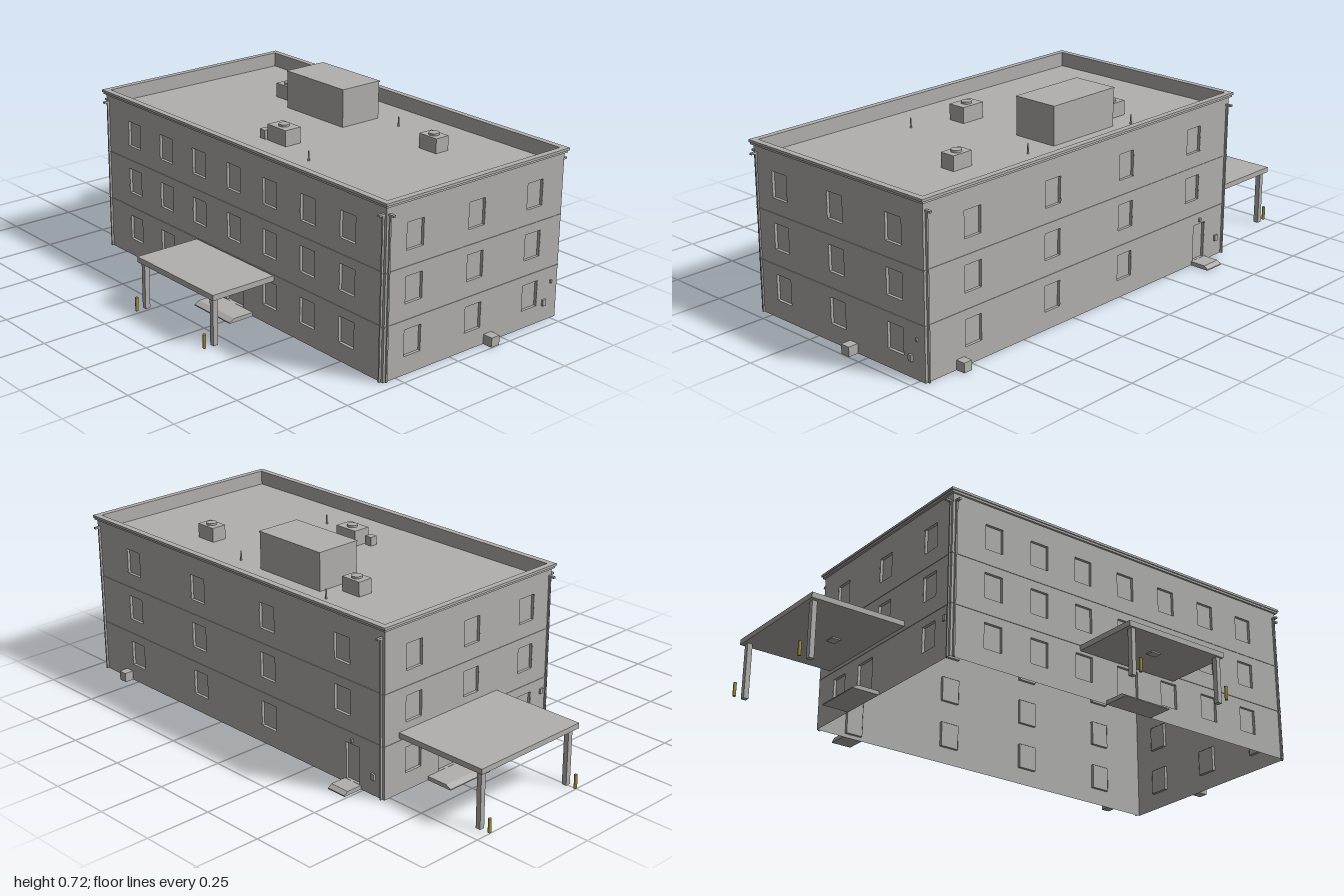
import * as THREE from 'three';

export function createModel() {
  const model = new THREE.Group();
  const grey = new THREE.MeshStandardMaterial({ color: 0xb1b0ae, side: THREE.DoubleSide });
  grey.name = 'concrete grey';
  const yellow = new THREE.MeshStandardMaterial({ color: 0xa89640 });
  yellow.name = 'bollard yellow';

  const X0 = -0.603, X1 = 0.958, Z0 = -0.526, Z1 = 0.307;
  const CX = (X0 + X1) / 2, CZ = (Z0 + Z1) / 2;
  const TOP = 0.618, DECK = 0.578, DEPTH = 0.012;

  function add(name, geo, mat = grey, parent = model) {
    const m = new THREE.Mesh(geo, mat);
    m.name = name;
    parent.add(m);
    return m;
  }
  // Box given by its minimum and maximum corners
  function box(name, x0, x1, y0, y1, z0, z1, parent = model) {
    const m = add(name, new THREE.BoxGeometry(x1 - x0, y1 - y0, z1 - z0), grey, parent);
    m.position.set((x0 + x1) / 2, (y0 + y1) / 2, (z0 + z1) / 2);
  }
  function cylinder(name, x, y0, y1, z, r0, r1, mat = grey) {
    const m = add(name, new THREE.CylinderGeometry(r1, r0, y1 - y0, 12), mat);
    m.position.set(x, (y0 + y1) / 2, z);
  }
  function rect(P, x0, x1, y0, y1) {
    const p = new P();
    p.moveTo(x0, y0);
    p.lineTo(x1, y0);
    p.lineTo(x1, y1);
    p.lineTo(x0, y1);
    p.closePath();
    return p;
  }

  // A wall sheet facing local +z, with recessed openings [centre, bottom, width, height, name]
  function wall(name, width, openings, x, z, turn) {
    const g = new THREE.Group();
    g.name = name;
    const shape = rect(THREE.Shape, -width / 2, width / 2, 0, TOP);
    for (const [c, b, w, h, part] of openings) {
      shape.holes.push(rect(THREE.Path, c - w / 2, c + w / 2, b, b + h));
      const t = 0.001;
      const frame = rect(THREE.Shape, c - w / 2 - t, c + w / 2 + t, b - t, b + h + t);
      frame.holes.push(rect(THREE.Path, c - w / 2, c + w / 2, b, b + h));
      add(part + 'Reveal', new THREE.ExtrudeGeometry(frame, { depth: DEPTH, bevelEnabled: false }), grey, g)
        .position.z = -DEPTH - 0.001;
      const pane = add(part + 'Pane', new THREE.PlaneGeometry(w, h), grey, g);
      pane.position.set(c, b + h / 2, -DEPTH);
    }
    add(name + 'Face', new THREE.ShapeGeometry(shape), grey, g);
    // Thin string courses at each floor
    for (const y of [0.195, 0.385]) box('floorBand', -width / 2, width / 2, y, y + 0.005, 0, 0.002, g);
    g.position.set(x, 0, z);
    g.rotation.y = turn;
    model.add(g);
  }
  const SILLS = [0.067, 0.257, 0.445];
  const win = (c, y) => [c, y, 0.076, 0.097, 'window'];

  const front = [], back = [], left = [], right = [];
  SILLS.forEach((y, floor) => {
    for (let i = 0; i < 7; i++) {
      if (floor || i !== 3) front.push(win(-0.425 + i * 0.2 - CX, y));
    }
    for (let i = 0; i < 4; i++) {
      if (floor || i !== 3) back.push(win(CX - (0.74 - i * 0.38), y));
    }
    for (const z of [0.178, -0.105, -0.387]) {
      left.push(win(CZ - z, y));
      if (floor || z !== -0.105) right.push(win(z - CZ, y));
    }
  });
  front.push([0.177 - CX, 0.015, 0.095, 0.15, 'door']);
  back.push([CX + 0.45, 0.015, 0.065, 0.14, 'door']);
  right.push([-0.215 - CZ, 0.015, 0.095, 0.15, 'door']);
  wall('frontWall', X1 - X0, front, CX, Z1, 0);
  wall('backWall', X1 - X0, back, CX, Z0, Math.PI);
  wall('leftWall', Z1 - Z0, left, X1, CZ, Math.PI / 2);
  wall('rightWall', Z1 - Z0, right, X0, CZ, -Math.PI / 2);

  // Roof deck, parapet and cornice
  box('roofDeck', X0, X1, DECK - 0.004, DECK, Z0, Z1);
  function ring(name, out, inset, y0, y1) {
    const s = rect(THREE.Shape, X0 - out, X1 + out, -Z1 - out, -Z0 + out);
    s.holes.push(rect(THREE.Path, X0 + inset, X1 - inset, -Z1 + inset, -Z0 - inset));
    const m = add(name, new THREE.ExtrudeGeometry(s, { depth: y1 - y0, bevelEnabled: false }));
    m.rotation.x = -Math.PI / 2;
    m.position.y = y0;
  }
  ring('parapet', -0.001, 0.012, DECK, TOP);
  ring('corniceLower', 0.008, 0.012, TOP - 0.002, 0.624);
  ring('corniceCap', 0.012, 0.012, 0.624, 0.633);

  // Rooftop plant room and its thin cap
  box('plantRoom', -0.127, 0.187, DECK, 0.718, -0.37, -0.193);
  box('plantRoomCap', -0.129, 0.189, 0.718, 0.723, -0.372, -0.191);

  // Rooftop air units with a fan on top
  for (const [x, z, w, d] of [[-0.218, -0.28, 0.085, 0.06], [0.57, -0.28, 0.085, 0.06], [0.172, 0.073, 0.1, 0.07]]) {
    const top = d > 0.06 ? 0.638 : 0.633;
    box('airUnit', x - w / 2, x + w / 2, DECK, top, z - d / 2, z + d / 2);
    cylinder('airUnitFan', x, top, top + 0.008, z, 0.02, 0.02);
  }
  box('smallAirUnit', 0.083, 0.112, DECK, 0.612, 0.083, 0.112);

  // Vent pipes
  for (const [x, z] of [[0.307, -0.36], [-0.19, -0.4], [0.385, 0.14]]) {
    cylinder('ventPipe', x, DECK, 0.615, z, 0.004, 0.002);
  }

  // Slim downspouts on the front and back near the corners, with outlet heads
  for (const x of [X0 + 0.013, X1 - 0.013]) {
    for (const [z0, z1, reach0, reach1] of [[Z1, Z1 + 0.008, Z1, Z1 + 0.024], [Z0 - 0.008, Z0, Z0 - 0.024, Z0]]) {
      box('downspout', x - 0.003, x + 0.003, 0, 0.585, z0, z1);
      box('downspoutHead', x - 0.005, x + 0.005, 0.585, 0.592, reach0, reach1);
    }
  }
  // Side downspouts near the front corners
  for (const [x0, x1, reach0, reach1] of [[X0 - 0.006, X0, X0 - 0.024, X0], [X1, X1 + 0.006, X1, X1 + 0.024]]) {
    box('sideDownspout', x0, x1, 0, 0.585, 0.292, 0.298);
    box('sideDownspoutHead', reach0, reach1, 0.585, 0.592, 0.29, 0.3);
  }

  // Front entrance canopy
  box('frontCanopy', -0.043, 0.398, 0.175, 0.196, Z1 - 0.02, 0.573);
  box('canopyLight', 0.155, 0.195, 0.17, 0.175, 0.435, 0.465);
  for (const x of [-0.02, 0.378]) {
    box('frontPost', x - 0.009, x + 0.009, 0, 0.176, 0.545, 0.565);
    cylinder('frontBollard', x, 0, 0.052, 0.597, 0.006, 0.006, yellow);
  }
  // Side entrance canopy
  box('sideCanopy', -0.975, X0 + 0.02, 0.21, 0.23, -0.458, 0.03);
  box('canopyLight', -0.755, -0.72, 0.205, 0.21, -0.235, -0.195);
  for (const z of [-0.435, 0.002]) {
    box('sidePost', -0.962, -0.943, 0, 0.211, z - 0.01, z + 0.01);
    cylinder('sideBollard', -0.994, 0, 0.052, z, 0.006, 0.006, yellow);
  }

  // Entrance ramps: sloping slabs running out from the wall
  function ramp(name, x, z, width, length, height, turn) {
    const s = new THREE.Shape();
    s.moveTo(0, 0);
    s.lineTo(length, 0);
    s.lineTo(length, 0.004);
    s.lineTo(length * 0.8, height);
    s.lineTo(0, height);
    s.closePath();
    const geo = new THREE.ExtrudeGeometry(s, { depth: width, bevelEnabled: false });
    geo.translate(0, 0, -width / 2);
    const m = add(name, geo);
    m.position.set(x, 0, z);
    m.rotation.y = turn;
  }
  ramp('frontStep', 0.177, Z1, 0.205, 0.103, 0.015, -Math.PI / 2);
  ramp('sideStep', X0, -0.215, 0.2, 0.107, 0.015, Math.PI);
  ramp('backStep', -0.45, Z0, 0.08, 0.078, 0.015, Math.PI / 2);

  // Ground boxes and small wall fittings
  box('leftServiceBox', X1, 0.998, 0, 0.036, -0.2, -0.162);
  box('backServiceBox', 0.785, 0.82, 0, 0.036, -0.562, Z0);
  box('wallMeter', X1, X1 + 0.008, 0.06, 0.083, -0.468, -0.452);
  box('wallTap', X1, X1 + 0.008, 0.138, 0.15, -0.494, -0.488);
  box('backWallLamp', -0.455, -0.445, 0.165, 0.178, Z0 - 0.008, Z0);
  box('backWallMeter', -0.56, -0.544, 0.06, 0.083, Z0 - 0.008, Z0);
  box('rightWallMeter', X0 - 0.006, X0, 0.14, 0.16, 0.265, 0.28);

  return model;
}
